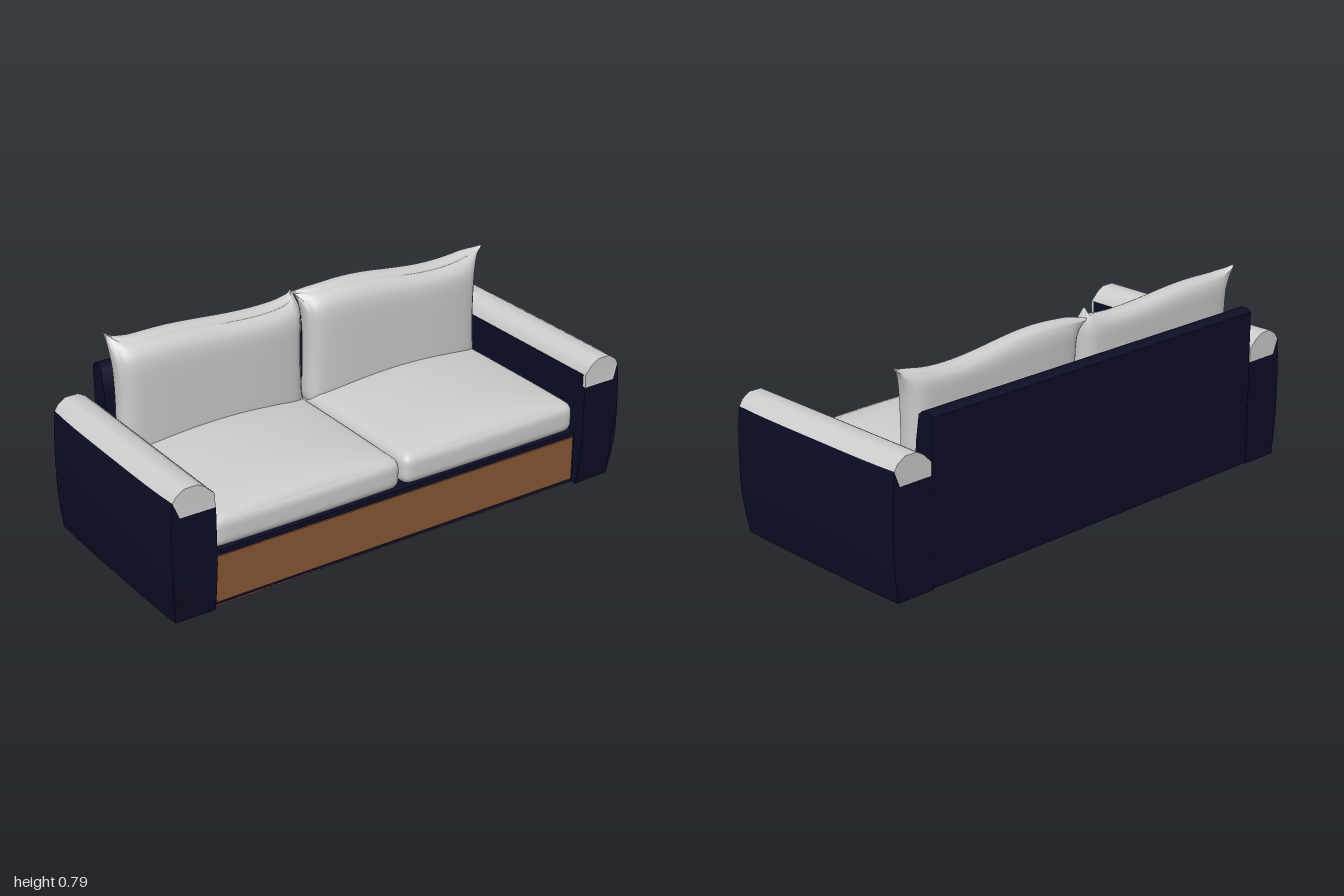
import * as THREE from 'three';
import { mergeVertices, toCreasedNormals } from 'three/addons/utils/BufferGeometryUtils.js';

const navy = new THREE.MeshStandardMaterial({ color: 0x0d0d26 });
navy.name = 'navyFabric';
const grey = new THREE.MeshStandardMaterial({ color: 0xcccccc });
grey.name = 'paleGreyFabric';
const wood = new THREE.MeshStandardMaterial({ color: 0x8a5836 });
wood.name = 'wood';

function add(parent, name, geometry, material, x = 0, y = 0, z = 0) {
  const mesh = new THREE.Mesh(geometry, material);
  mesh.name = name;
  mesh.position.set(x, y, z);
  parent.add(mesh);
  return mesh;
}

const box = (w, h, d) => new THREE.BoxGeometry(w, h, d);

// Rounded, smooth box; deform(p, u, v, w) moves each point by its place in the box (-1..1)
function softBox(w, h, d, r, deform) {
  const half = new THREE.Vector3(w / 2, h / 2, d / 2);
  const inner = half.clone().subScalar(r);
  let g = new THREE.BoxGeometry(2, 2, 2, 24, 16, 16);
  g.deleteAttribute('uv');
  g.deleteAttribute('normal');
  g = mergeVertices(g);
  const pos = g.attributes.position;
  const p = new THREE.Vector3();
  const core = new THREE.Vector3();
  for (let i = 0; i < pos.count; i++) {
    p.fromBufferAttribute(pos, i);
    // crowd the grid lines towards the edges
    const [u, v, t] = p.toArray().map((a) => Math.sin((a * Math.PI) / 2));
    p.set(u, v, t).multiply(half);
    core.copy(p).clamp(inner.clone().negate(), inner);
    p.sub(core).setLength(r).add(core);
    deform(p, u, v, t);
    pos.setXYZ(i, p.x, p.y, p.z);
  }
  g.computeVertexNormals();
  return g;
}

// Arm slice run from back to front, with a tucked front toe and a bulging outer side
function armGeometry(points, side) {
  const shape = new THREE.Shape(points.map(([x, y]) => new THREE.Vector2(x * side, y)));
  const g = new THREE.ExtrudeGeometry(shape, { depth: 0.85, steps: 10, bevelEnabled: false });
  g.translate(0, 0, -0.425);
  const pos = g.attributes.position;
  for (let i = 0; i < pos.count; i++) {
    const x = pos.getX(i), y = pos.getY(i), z = pos.getZ(i);
    const outer = Math.max(0, (Math.abs(x) - 0.95) / 0.05);
    pos.setX(i, x - side * outer * 0.012 * Math.pow(Math.abs(z) / 0.425, 4));
    if (z > 0.42) {
      const toe = 0.025 * Math.pow(Math.max(0, 1 - y / 0.2), 1.5);
      const top = 0.05 * Math.max(0, y - 0.42);
      pos.setZ(i, z - toe - top - outer * 0.006);
    }
  }
  return toCreasedNormals(g, 0.8);
}

function arm(side) {
  const group = new THREE.Group();
  group.name = side > 0 ? 'leftArm' : 'rightArm';
  add(group, 'armBody', armGeometry([
    [0.813, 0], [0.978, 0], [0.99, 0.08], [0.998, 0.15], [1.0, 0.2], [1.0, 0.32], [0.995, 0.42],
    [0.985, 0.48], [0.955, 0.42], [0.813, 0.42], [0.813, 0.2], [0.813, 0.08]], side), navy);
  add(group, 'armCap', armGeometry([
    [0.815, 0.42], [0.955, 0.42], [0.985, 0.48], [0.965, 0.503], [0.93, 0.523],
    [0.878, 0.523], [0.85, 0.507], [0.815, 0.472]], side), grey);
  // fabric wrapping up the inner side to the cap
  add(group, 'innerArmPanel', box(0.005, 0.05, 0.82), navy, side * 0.8145, 0.445, 0);
  return group;
}

function seatCushion(parent, side) {
  const g = softBox(0.8, 0.125, 0.73, 0.04, (p, u, v, t) => {
    const crown = (1 - u * u) * (1 - Math.pow(t, 4));
    if (v > 0) p.y += 0.045 * v * crown;
    p.z += 0.004 * (1 - u * u) * Math.sign(t);
  });
  add(parent, side > 0 ? 'leftSeatCushion' : 'rightSeatCushion', g, grey, side * 0.405, 0.2825, 0.021);
}

// Plump pillow with a wavy top and pulled corners; ears are [dx, dy, dz] offsets
function backPillow(parent, name, x, width, wave, earA, earB) {
  const g = softBox(width, 0.46, 0.13, 0.055, (p, u, v, t) => {
    const top = Math.max(0, v);
    const plump = (1 - 0.3 * Math.pow(u, 4)) * (1 - 0.35 * Math.pow(top, 8));
    p.z *= plump * 1.12;
    if (t < 0) p.z -= 0.012 * (1 - plump);
    p.z -= 0.02 * Math.pow(top, 6);
    p.y -= wave * top * top * Math.sin(u * 3);
    // sides drawn in slightly between the corners
    p.x -= 0.012 * Math.pow(u, 5) * (1 - v * v);
    const pull = Math.pow(Math.abs(u), 12) * Math.pow(top, 8);
    const [dx, dy, dz] = u < 0 ? earA : earB;
    p.z = p.z * (1 - 0.7 * pull) + dz * pull;
    p.x += dx * pull;
    p.y += dy * pull;
  });
  add(parent, name, g, grey, x, 0.525, -0.267);
}

export function createModel() {
  const sofa = new THREE.Group();
  sofa.name = 'sofa';

  // Base with wooden front and underside
  add(sofa, 'base', box(1.62, 0.217, 0.8), navy, 0, 0.1115, -0.018);
  add(sofa, 'frontPanel', box(1.6, 0.18, 0.008), wood, 0, 0.11, 0.384);
  add(sofa, 'underside', box(1.61, 0.006, 0.8), wood, 0, 0.003, -0.018);

  // Backrest
  const profile = [[-0.424, 0.004], [-0.31, 0.004], [-0.325, 0.3], [-0.347, 0.53],
    [-0.362, 0.622], [-0.378, 0.636], [-0.41, 0.636], [-0.424, 0.624]];
  const back = new THREE.ExtrudeGeometry(
    new THREE.Shape(profile.map(([z, y]) => new THREE.Vector2(z, y))),
    { depth: 1.624, bevelEnabled: false });
  back.translate(0, 0, -0.812).rotateY(-Math.PI / 2);
  add(sofa, 'backrest', toCreasedNormals(back, 0.8), navy);

  // Arms and seat cushions
  for (const side of [-1, 1]) {
    sofa.add(arm(side));
    seatCushion(sofa, side);
  }

  // Back pillows
  backPillow(sofa, 'rightBackPillow', -0.413, 0.8, 0.012, [-0.02, 0.05, -0.05], [-0.015, 0.045, -0.01]);
  backPillow(sofa, 'leftBackPillow', 0.402, 0.81, 0.018, [-0.035, 0.015, -0.045], [0.05, 0.03, 0.01]);
  return sofa;
}
